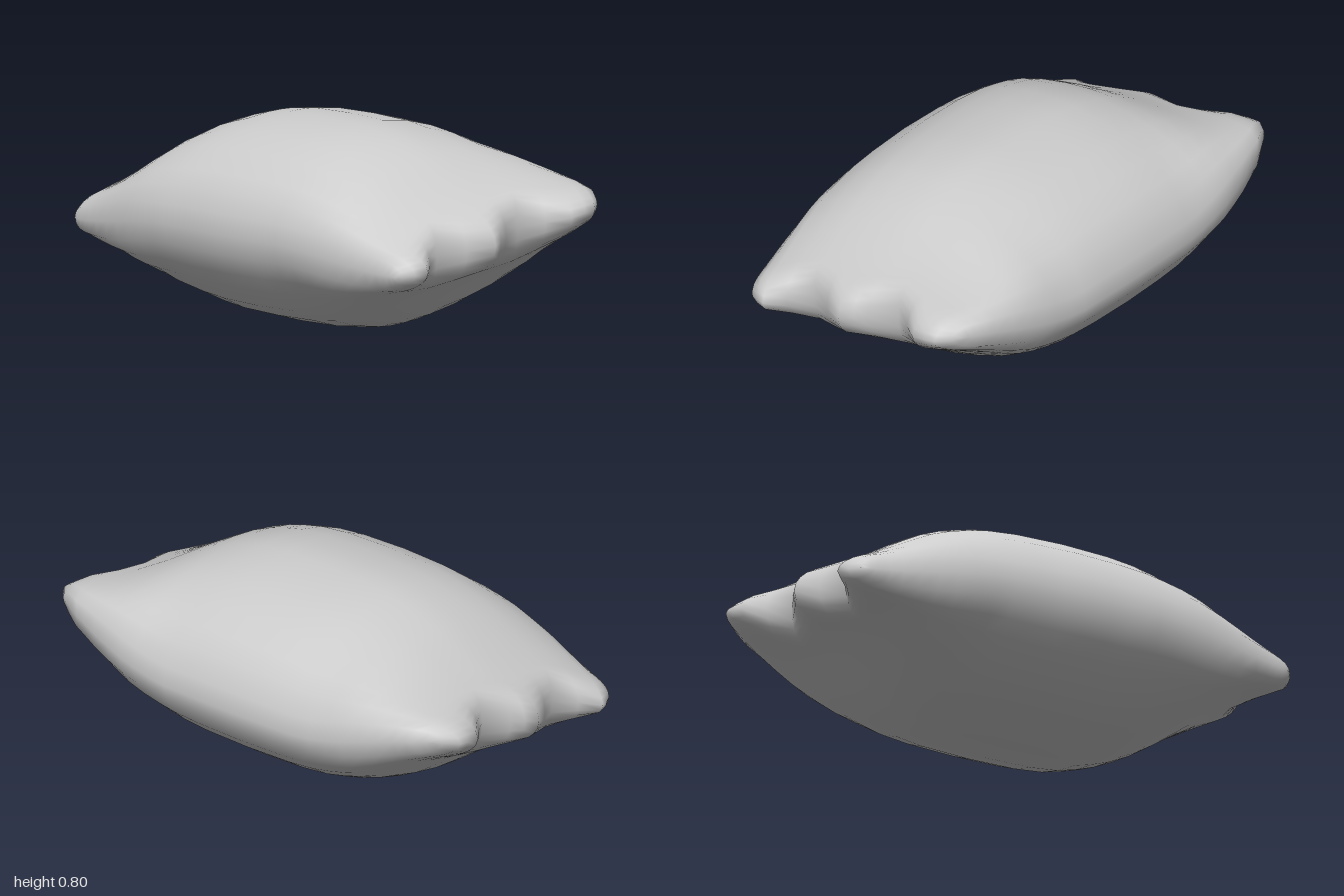
import * as THREE from 'three';
import { mergeVertices } from 'three/addons/utils/BufferGeometryUtils.js';

// Linear interpolation through [position, value] pairs
function lookup(table, x) {
  for (let i = 1; i < table.length; i++) {
    const [x0, y0] = table[i - 1], [x1, y1] = table[i];
    if (x <= x1) return y0 + (y1 - y0) * (x - x0) / (x1 - x0);
  }
  return table[table.length - 1][1];
}

// Half thickness and half depth (back, front) against distance from the middle
const THICK = [[0, 0.4], [0.2, 0.395], [0.32, 0.38], [0.45, 0.345], [0.56, 0.295], [0.65, 0.24],
  [0.75, 0.175], [0.85, 0.125], [0.93, 0.095], [1, 0.075]];
const BACK = [[0, 0.625], [0.3, 0.62], [0.55, 0.605], [0.7, 0.58], [0.84, 0.54], [0.93, 0.49], [1, 0.465]];
const FRONT = [[0, 0.625], [0.3, 0.615], [0.5, 0.6], [0.7, 0.57], [0.93, 0.53], [1, 0.5]];

// Zigzag end outline: [position across, back to front; reach in x]
const END = [[-1, 0.92], [-0.98, 0.955], [-0.9, 1], [-0.8, 1], [-0.66, 0.995], [-0.47, 0.93], [-0.27, 0.87],
  [-0.07, 0.925], [0.03, 0.953], [0.13, 0.98], [0.31, 0.925], [0.5, 0.87], [0.67, 0.93], [0.84, 0.995],
  [0.92, 0.975], [0.98, 0.95], [1, 0.93]];

// Point on the upper (side = 1) or lower (side = -1) skin
function skinPoint(u, v, side) {
  const a = Math.abs(u);
  const x = a - (1 - lookup(END, v)) * a ** 5;
  const s = THREE.MathUtils.smoothstep(x, 0.3, 0.95);
  const z = v * lookup(v < 0 ? BACK : FRONT, x);
  const round = Math.max(0, 1 - v * v);
  const mid = 0.403 + s * (0.027 - 0.09 * v);
  const cap = Math.sqrt(1 - (Math.max(0, a - 0.9) / (1 - 0.9)) ** 2 + 1e-9);
  const t = a === 1 ? 0 : cap * lookup(THICK, x) * round ** (0.5 - 0.25 * s);
  const lift = side < 0 ? 0.08 * Math.max(0, -v) * Math.sqrt(round) * (1 - s) : 0;
  return [Math.sign(u) * x, mid + side * t + lift * Math.sign(t), z];
}

function pillowGeometry() {
  const half = [0.1, 0.2, 0.32, 0.4, 0.48, 0.56, 0.64, 0.72, 0.8, 0.86, 0.9, 0.94, 0.97, 0.99, 1];
  const stations = [...half.map((u) => -u).reverse(), 0, ...half];
  const across = END.map((e) => e[0]);
  const loop = [...across.map((v) => [v, 1]), ...across.slice(1, -1).reverse().map((v) => [v, -1])];
  const n = loop.length, position = [], index = [];
  stations.forEach((u, i) => {
    loop.forEach(([v, side], j) => {
      position.push(...skinPoint(u, v, side));
      if (i === stations.length - 1) return;
      const k = (j + 1) % n, a = i * n + j, b = a + n, c = i * n + k, d = c + n;
      index.push(a, c, b, b, c, d);
    });
  });
  const geometry = new THREE.BufferGeometry();
  geometry.setAttribute('position', new THREE.Float32BufferAttribute(position, 3));
  geometry.setIndex(index);
  // Join the upper and lower skins along the ends so shading runs smoothly round
  const joined = mergeVertices(geometry, 1e-4);
  joined.computeVertexNormals();
  return joined;
}

export function createModel() {
  const model = new THREE.Group();
  model.name = 'pillowPack';
  // Puffed body with twisted, notched ends
  const body = new THREE.Mesh(pillowGeometry(), new THREE.MeshStandardMaterial({ color: 0xcccccc }));
  body.name = 'body';
  model.add(body);
  return model;
}
